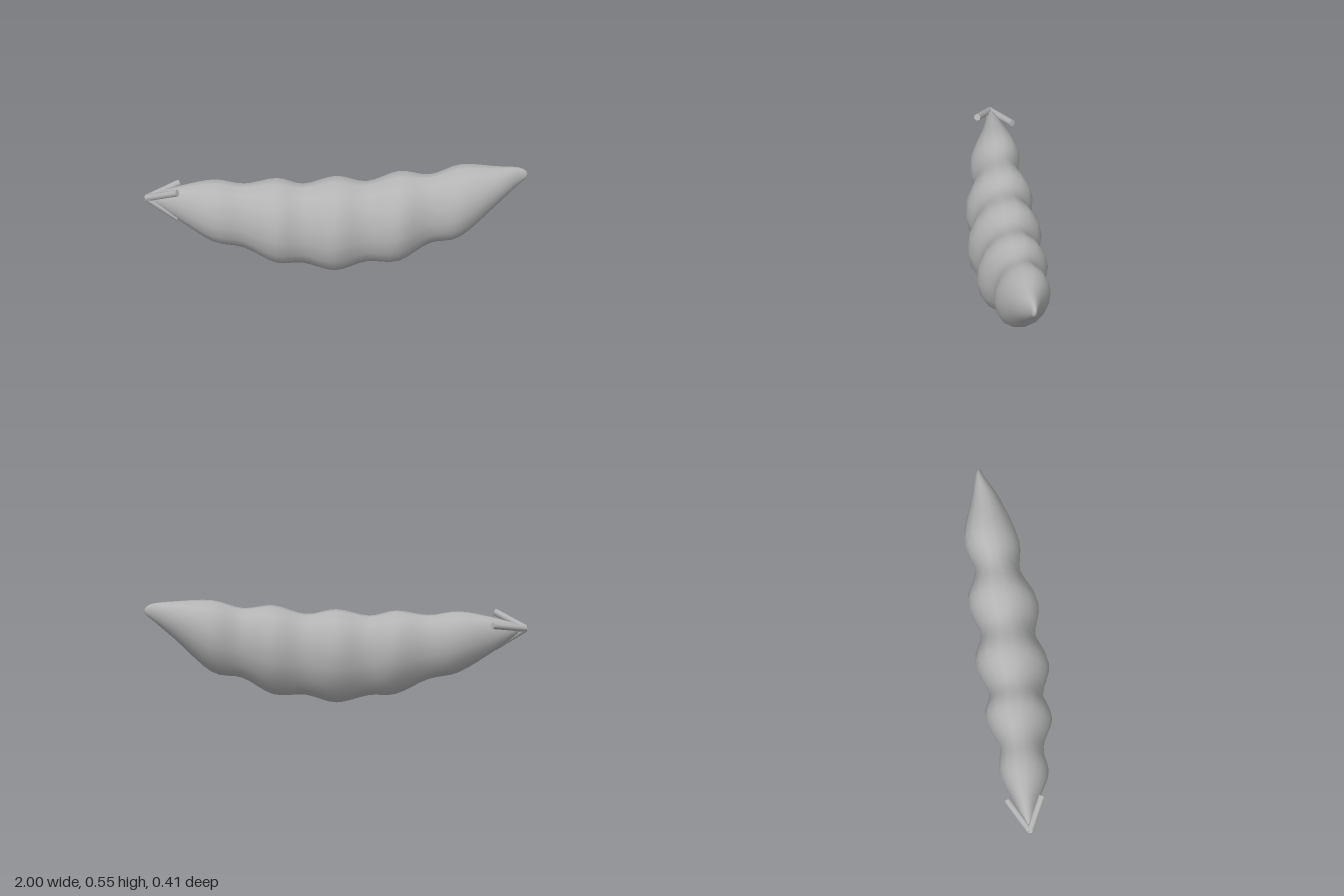
import * as THREE from 'three';

// Pod stations from stem to tip: [x, top y, bottom y, back z, front z]
const STATIONS = [
  [-0.985, 0.412, 0.398, 0.033, 0.047],
  [-0.94, 0.43, 0.37, 0.015, 0.06],
  [-0.82, 0.465, 0.28, -0.03, 0.093],
  [-0.64, 0.496, 0.168, -0.098, 0.16],
  [-0.48, 0.476, 0.13, -0.088, 0.143],
  [-0.31, 0.499, 0.05, -0.155, 0.198],
  [-0.17, 0.472, 0.043, -0.125, 0.158],
  [0, 0.506, 0.004, -0.19, 0.2],
  [0.16, 0.481, 0.045, -0.15, 0.137],
  [0.33, 0.528, 0.049, -0.21, 0.162],
  [0.49, 0.514, 0.138, -0.16, 0.077],
  [0.65, 0.558, 0.172, -0.212, 0.08],
  [0.84, 0.552, 0.345, -0.162, -0.005],
  [0.95, 0.543, 0.445, -0.136, -0.08],
  [0.99, 0.525, 0.478, -0.126, -0.1],
  [1.0, 0.51, 0.495, -0.117, -0.108],
];
const SIDES = 16, STEPS = 4, LEAN = 0.15;

// Lofted, slightly leaning oval sections along the pod
function podGeometry() {
  const curve = (a, b) => new THREE.CatmullRomCurve3(
    STATIONS.map((s) => new THREE.Vector3(s[0], s[a], s[b])), false, 'catmullrom', 0.5);
  const heights = curve(1, 2), depths = curve(3, 4);
  const rings = (STATIONS.length - 1) * STEPS;
  const pos = [], index = [];
  for (let i = 0; i <= rings; i++) {
    const h = heights.getPoint(i / rings), d = depths.getPoint(i / rings);
    for (let j = 0; j < SIDES; j++) {
      const t = ((j + 0.5) / SIDES) * Math.PI * 2;
      pos.push(h.x,
        (h.y + h.z) / 2 + ((h.y - h.z) / 2) * Math.cos(t),
        (d.y + d.z) / 2 + ((d.z - d.y) / 2) * Math.sin(t - LEAN));
      if (i < rings) {
        const a = i * SIDES + j, b = i * SIDES + ((j + 1) % SIDES);
        index.push(a, b, a + SIDES, b, b + SIDES, a + SIDES);
      }
    }
  }
  // Close both ends
  const last = rings * SIDES;
  for (let j = 1; j < SIDES - 1; j++) {
    index.push(0, j + 1, j, last, last + j, last + j + 1);
  }
  const g = new THREE.BufferGeometry();
  g.setAttribute('position', new THREE.Float32BufferAttribute(pos, 3));
  g.setIndex(index);
  g.computeVertexNormals();
  return g;
}

export function createModel() {
  const group = new THREE.Group();
  const grey = new THREE.MeshStandardMaterial({ color: 0xb4b4b4 });
  grey.name = 'pod grey';

  const pod = new THREE.Mesh(podGeometry(), grey);
  pod.name = 'pod';
  group.add(pod);

  // Three sepals swept back from the stem end
  const root = new THREE.Vector3(-0.99, 0.405, 0.042);
  for (let k = 0; k < 3; k++) {
    const a = 0.75 + (k * Math.PI * 2) / 3;
    const end = new THREE.Vector3(-0.825, 0.405 + 0.108 * Math.sin(a), 0.035 + 0.108 * Math.cos(a));
    const dir = end.clone().sub(root);
    const sepal = new THREE.Mesh(new THREE.CylinderGeometry(0.018, 0.018, dir.length(), 8), grey);
    sepal.position.copy(root).add(end).multiplyScalar(0.5);
    sepal.quaternion.setFromUnitVectors(new THREE.Vector3(0, 1, 0), dir.normalize());
    sepal.name = 'sepal' + (k + 1);
    group.add(sepal);
  }
  return group;
}
